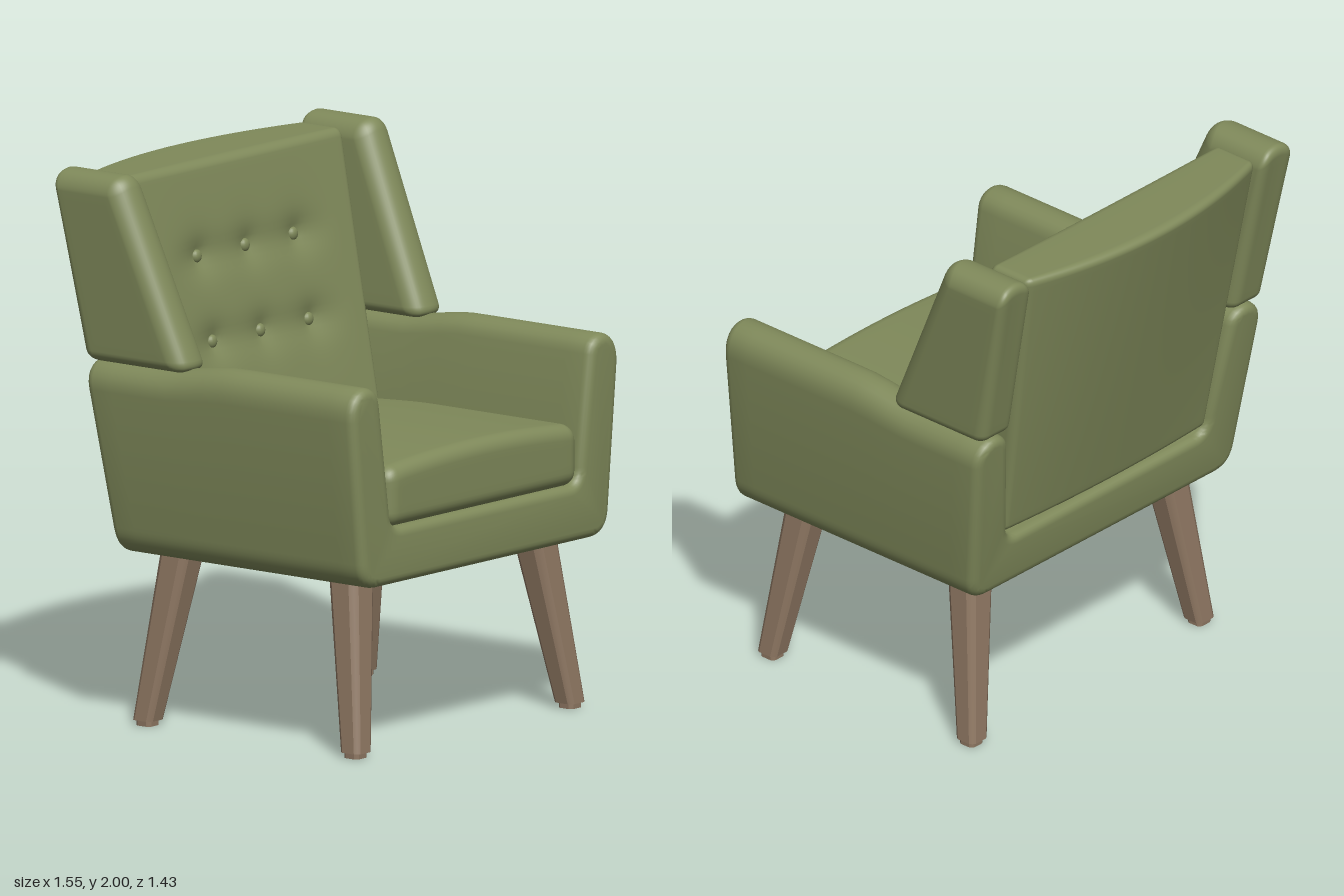
import * as THREE from 'three';
import { mergeVertices, toCreasedNormals } from 'three/addons/utils/BufferGeometryUtils.js';

const { lerp, clamp, smoothstep } = THREE.MathUtils;

// Move every vertex of a geometry by a rule.
function warp(geo, rule) {
  const p = geo.attributes.position, v = new THREE.Vector3();
  for (let i = 0; i < p.count; i++) {
    rule(v.fromBufferAttribute(p, i));
    p.setXYZ(i, v.x, v.y, v.z);
  }
  return geo;
}

// Smooth box with rounded edges, n segments on the flats, bent by a rule.
function softBox(size, r, n, rule) {
  const k = 4, N = n.map((c) => c + 2 * k);
  let geo = new THREE.BoxGeometry(1, 1, 1, ...N);
  geo.deleteAttribute('uv');
  geo.deleteAttribute('normal');
  const place = (t, i) => {
    const j = Math.round((t + 0.5) * N[i]), h = size[i] / 2;
    if (j <= k) return -h + (r * j) / k;
    if (j >= N[i] - k) return h - (r * (N[i] - j)) / k;
    return lerp(-h + r, h - r, (j - k) / n[i]);
  };
  const inner = new THREE.Vector3();
  warp(geo, (v) => {
    v.set(place(v.x, 0), place(v.y, 1), place(v.z, 2));
    const [hx, hy, hz] = size.map((s) => s / 2 - r);
    inner.set(clamp(v.x, -hx, hx), clamp(v.y, -hy, hy), clamp(v.z, -hz, hz));
    v.sub(inner).setLength(r).add(inner);
    rule(v);
  });
  geo = mergeVertices(geo, 1e-5);
  geo.computeVertexNormals();
  return geo;
}

export function createModel() {
  const chair = new THREE.Group();
  chair.name = 'armchair';
  const fabric = new THREE.MeshStandardMaterial({ color: 0x7f895a });
  fabric.name = 'green fabric';
  const wood = new THREE.MeshStandardMaterial({ color: 0x8e7762 });
  wood.name = 'brown wood';
  const add = (name, geo, mat) => {
    const m = new THREE.Mesh(geo, mat);
    m.name = name;
    chair.add(m);
    return m;
  };

  // Frame: U-shaped section of base and arms, run from front to leaning back
  const s = new THREE.Shape();
  s.moveTo(-0.6, 0.625);
  s.lineTo(0.6, 0.625);
  s.quadraticCurveTo(0.69, 0.625, 0.7, 0.72);
  s.lineTo(0.75, 1.24);
  s.bezierCurveTo(0.76, 1.385, 0.595, 1.385, 0.585, 1.29);
  s.lineTo(0.53, 0.9);
  s.quadraticCurveTo(0.53, 0.83, 0.47, 0.83);
  s.lineTo(-0.47, 0.83);
  s.quadraticCurveTo(-0.53, 0.83, -0.53, 0.9);
  s.lineTo(-0.585, 1.29);
  s.bezierCurveTo(-0.595, 1.385, -0.76, 1.385, -0.75, 1.24);
  s.lineTo(-0.7, 0.72);
  s.quadraticCurveTo(-0.69, 0.625, -0.6, 0.625);
  const bevel = 0.035, depth = 1.15;
  const frame = new THREE.ExtrudeGeometry(s, {
    depth, steps: 14, curveSegments: 12, bevelSegments: 5,
    bevelThickness: bevel, bevelSize: bevel, bevelOffset: -bevel,
  });
  warp(frame, (v) => {
    const t = (v.z + bevel) / (depth + 2 * bevel);
    v.z = lerp(-0.43 - 0.09 * (v.y - 0.65) / 0.65, 0.717, t);
    v.y -= 0.035 * (1 - smoothstep(v.z, -0.2, 0.12)) * smoothstep(v.y, 1.1, 1.34);
  });
  add('frame', toCreasedNormals(frame, 0.7), fabric);

  // Backrest: leaning, curved behind, with button tufts in front
  const buttons = [];
  for (const y of [1.34, 1.64]) for (const x of [-0.27, 0, 0.27]) buttons.push([x, y]);
  const backFront = (y) => lerp(-0.17, -0.435, (y - 0.85) / 1.12);
  const tuft = (x, y) => {
    let d = 0;
    for (const [bx, by] of buttons) d += 0.035 * Math.exp(-Math.hypot(x - bx, y - by) / 0.06);
    for (const by of [1.34, 1.64])
      d += 0.012 * Math.exp(-(((y - by) / 0.06) ** 2)) * (1 - smoothstep(Math.abs(x), 0.3, 0.48));
    return d;
  };
  add('backrest', softBox([1.2, 1.12, 0.22], 0.03, [48, 44, 4], (v) => {
    const f = v.z / 0.22 + 0.5, u = v.x / 0.6, t = v.y / 1.12 + 0.5;
    v.x = u * lerp(0.535, 0.605, t);
    v.y += 1.41;
    const rear = -0.44 - 0.18 * t - (0.02 + 0.08 * t) * (1 - u * u);
    v.z = lerp(rear, backFront(v.y) - tuft(v.x, v.y), f);
  }), fabric);
  for (const [x, y] of buttons) {
    const b = add('backButton', new THREE.SphereGeometry(0.025, 16, 12), fabric);
    b.position.set(x, y, backFront(y) - tuft(x, y) + 0.008);
    b.scale.z = 0.7;
  }

  // Seat cushion: crowned, narrowing towards the back
  add('seatCushion', softBox([1.07, 0.22, 0.99], 0.055, [20, 4, 20], (v) => {
    const crown = 1 - (v.x / 0.535) ** 2;
    v.z += 0.215;
    v.y += 0.935 + (v.y > 0 ? 0.028 * crown : 0);
    v.x *= 1 - 0.13 * (1 - smoothstep(v.z, -0.25, 0.06));
  }), fabric);

  // Wooden deck under the rear of the cushion
  const deck = add('seatDeck', new THREE.BoxGeometry(1.07, 0.2, 0.32), wood);
  deck.position.set(0, 0.92, -0.14);

  for (const side of [-1, 1]) {
    const label = side > 0 ? 'left' : 'right';

    // Wing: tapers upwards, leans out and back, domed on top and front
    add(label + 'Wing', softBox([0.165, 0.68, 0.38], 0.04, [8, 16, 10], (v) => {
      const t = v.y / 0.68 + 0.5, f = v.z / 0.38 + 0.5, q = (v.x / 0.0825) ** 2;
      v.z = lerp(lerp(-0.525, -0.655, t), lerp(-0.06, -0.35, t), f) - 0.03 * q * f;
      v.y += 1.66 - 0.035 * q * t;
      v.x += side * lerp(0.662, 0.692, t);
    }), fabric);

    // Splayed legs: chamfered square section with a small glide below
    for (const [end, zTop, zBottom] of [['Front', 0.51, 0.607], ['Rear', -0.255, -0.347]]) {
      const square = (v, h) => {
        v.x = clamp(v.x * 1.2, -1, 1) * h;
        v.z = clamp(v.z * 1.2, -1, 1) * h;
      };
      const leg = warp(new THREE.CylinderGeometry(1, 1, 0.64, 24, 1), (v) => {
        const t = v.y / 0.64 + 0.5;
        square(v, lerp(0.044, 0.066, t));
        v.x += side * lerp(0.6, 0.508, t);
        v.z += lerp(zBottom, zTop, t);
        v.y += 0.34;
      });
      add(label + end + 'Leg', toCreasedNormals(leg, 0.5), wood);
      const glide = warp(new THREE.CylinderGeometry(1, 1, 0.024, 24, 1), (v) => {
        square(v, 0.033);
        v.x += side * 0.602;
        v.z += zBottom;
        v.y += 0.012;
      });
      add(label + end + 'Glide', toCreasedNormals(glide, 0.5), wood);
    }
  }
  return chair;
}
